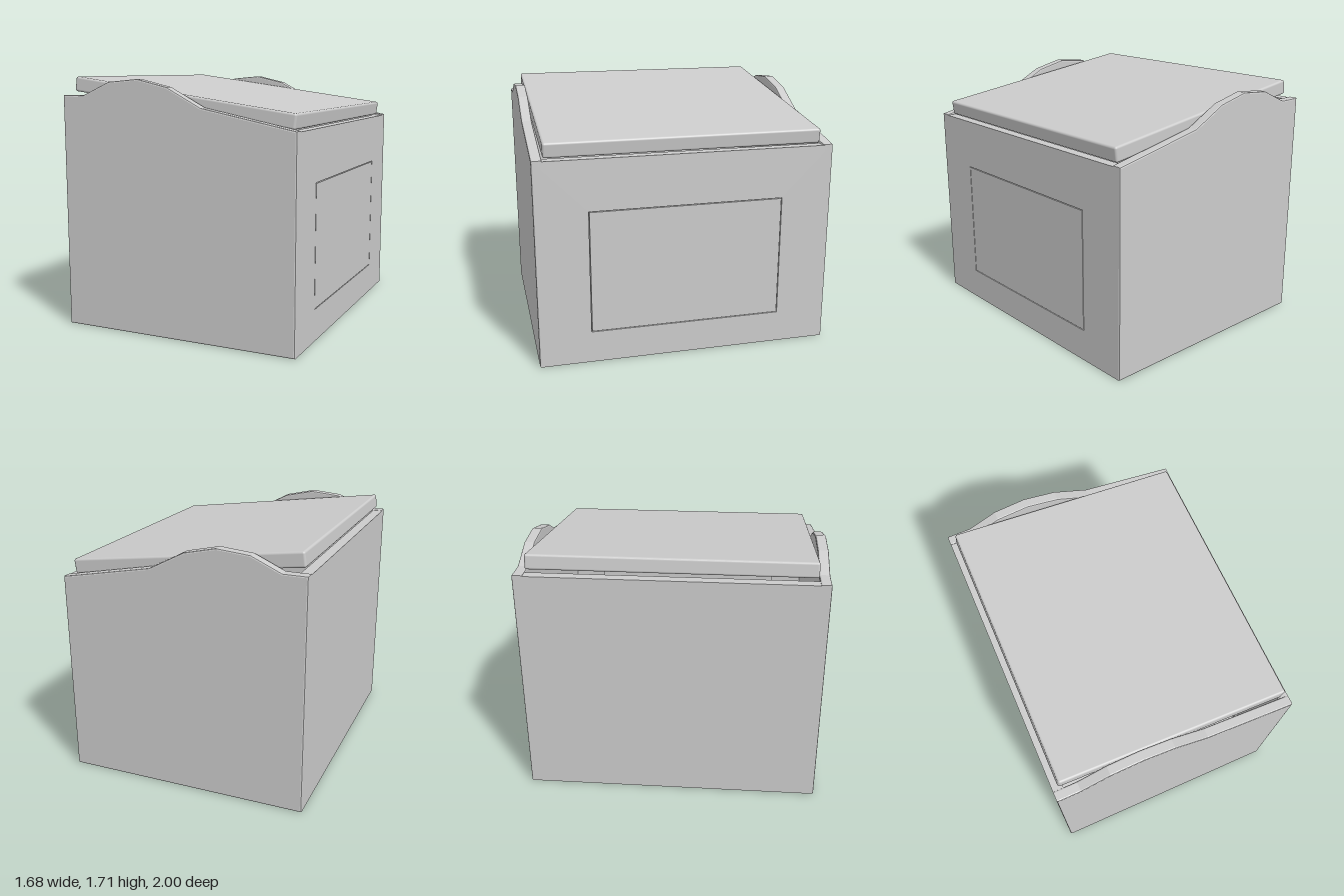
import * as THREE from 'three';
import { RoundedBoxGeometry } from 'three/addons/geometries/RoundedBoxGeometry.js';

const material = new THREE.MeshStandardMaterial({ color: 0xcccccc });
const HALF_X = 0.84, HALF_Z = 1, WALL = 0.07, BEVEL = 0.01;

function addMesh(parent, name, geometry, x = 0, y = 0, z = 0) {
  const mesh = new THREE.Mesh(geometry, material);
  mesh.name = name;
  mesh.position.set(x, y, z);
  parent.add(mesh);
  return mesh;
}

function rectangle(Type, halfWidth, bottom, top) {
  return new Type([
    [-halfWidth, bottom], [halfWidth, bottom], [halfWidth, top], [-halfWidth, top],
  ].map(([x, y]) => new THREE.Vector2(x, y)));
}

export function createModel() {
  const model = new THREE.Group();
  model.name = 'liddedBin';

  // Front and back panels with a crested top edge
  const outline = new THREE.Shape([
    [-HALF_X, 0], [HALF_X, 0], [HALF_X, 1.4], [0.2, 1.525], [-0.04, 1.65],
    [-0.26, 1.7], [-0.48, 1.68], [-0.68, 1.59], [-HALF_X, 1.59],
  ].map(([x, y]) => new THREE.Vector2(x, y)));
  const panel = new THREE.ExtrudeGeometry(outline, {
    depth: WALL - 2 * BEVEL, bevelEnabled: true, bevelSize: BEVEL,
    bevelThickness: BEVEL, bevelOffset: -BEVEL, bevelSegments: 2,
  });
  panel.translate(0, 0, BEVEL - WALL / 2);
  addMesh(model, 'frontPanel', panel, 0, 0, HALF_Z - WALL / 2);
  addMesh(model, 'backPanel', panel, 0, 0, -HALF_Z + WALL / 2);

  // Plain end wall and floor, running into the panels so the corners are flush
  const halfWall = HALF_Z - BEVEL;
  addMesh(model, 'leftEndWall', new THREE.BoxGeometry(WALL, 1.585, 2 * halfWall),
    -HALF_X + WALL / 2, 1.585 / 2, 0);
  addMesh(model, 'floor', new THREE.BoxGeometry(2 * (HALF_X - BEVEL), WALL, 2 * halfWall), 0, WALL / 2, 0);

  // End wall with an opening for the hatch
  const wall = rectangle(THREE.Shape, halfWall, 0, 1.395);
  wall.holes.push(rectangle(THREE.Path, 0.652, 0.218, 1.052));
  const wallGeometry = new THREE.ExtrudeGeometry(wall, { depth: WALL, bevelEnabled: false });
  wallGeometry.rotateY(Math.PI / 2);
  addMesh(model, 'hatchEndWall', wallGeometry, HALF_X - WALL, 0, 0);

  // Flush hatch with a hairline gap, and a backing plate behind it
  addMesh(model, 'hatch', new THREE.BoxGeometry(WALL, 0.824, 1.294), HALF_X - WALL / 2, 0.635, 0);
  addMesh(model, 'hatchBacking', new THREE.BoxGeometry(0.03, 0.9, 1.4), HALF_X - WALL - 0.01, 0.635, 0);

  // Sloping lid resting between the panels
  const lid = addMesh(model, 'lid', new RoundedBoxGeometry(1.61, 0.1, 1.845, 3, 0.015), 0.003, 1.558, 0);
  lid.rotation.z = -0.134;

  return model;
}
